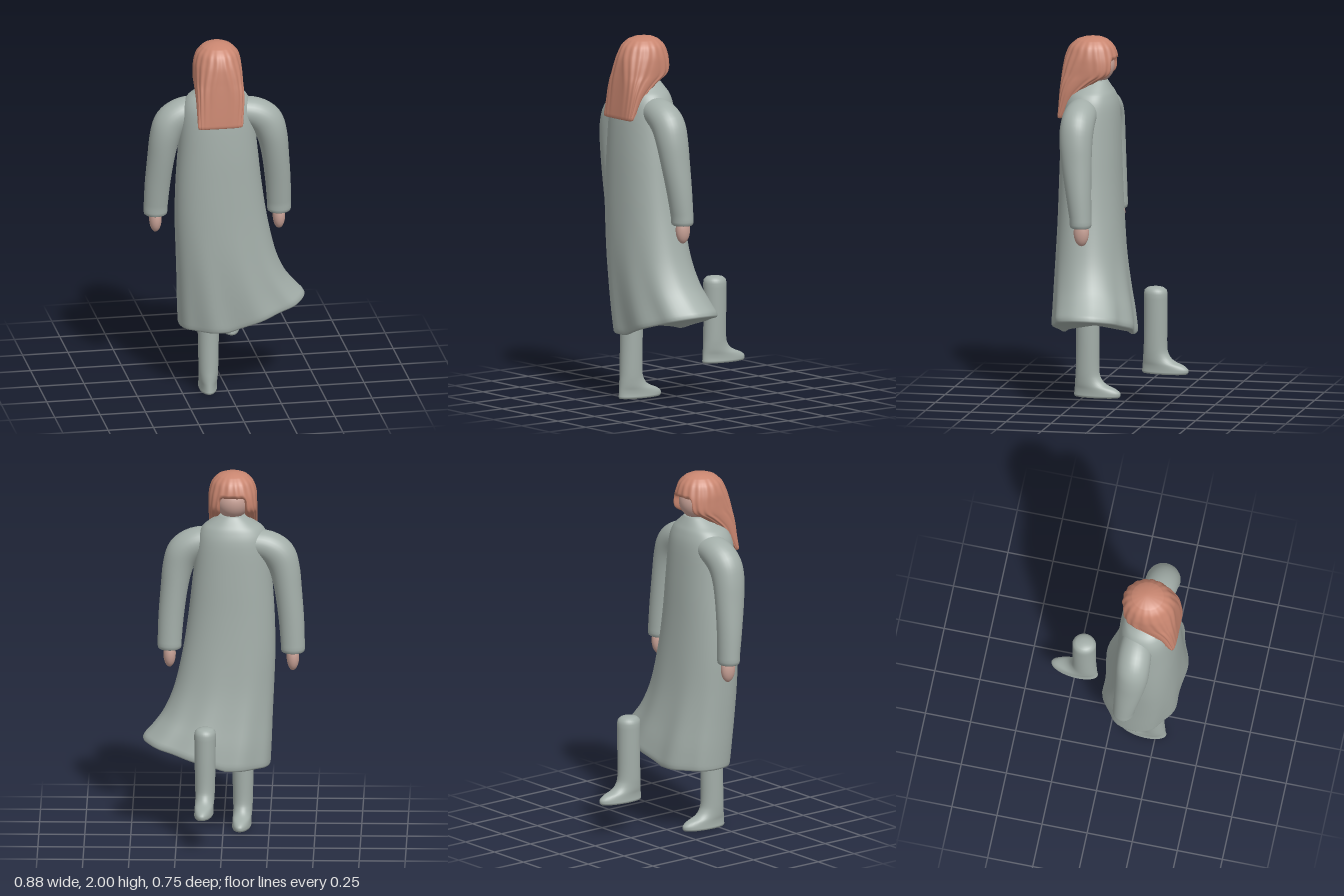
import * as THREE from 'three';

const mat = (name, color) => Object.assign(new THREE.MeshStandardMaterial({ color }), { name });

// Smoothly subdivide a table of numeric rows (Catmull-Rom on every column)
function refine(rows, n = 4) {
  const out = [];
  for (let i = 0; i < rows.length - 1; i++) {
    const p = [rows[Math.max(0, i - 1)], rows[i], rows[i + 1], rows[Math.min(rows.length - 1, i + 2)]];
    for (let k = 0; k < n; k++) {
      const t = k / n;
      out.push(rows[i].map((_, c) => {
        const [a, b, d, e] = p.map((r) => r[c]);
        return b + 0.5 * t * (d - a + t * (2 * a - 5 * b + 4 * d - e + t * (3 * (b - d) + e - a)));
      }));
    }
  }
  out.push(rows[rows.length - 1]);
  return out;
}

// Skin a list of closed rings, running from top to bottom, with closed ends
function loft(rings) {
  const pos = [], idx = [], n = rings[0].length, m = rings.length;
  rings.forEach((r) => r.forEach((p) => pos.push(p.x, p.y, p.z)));
  for (let i = 0; i < m - 1; i++) {
    for (let j = 0; j < n; j++) {
      const a = i * n + j, b = i * n + (j + 1) % n;
      idx.push(a, b, a + n, b, b + n, a + n);
    }
  }
  [0, m - 1].forEach((i) => {
    const c = new THREE.Vector3();
    rings[i].forEach((p) => c.addScaledVector(p, 1 / n));
    const ci = pos.length / 3;
    pos.push(c.x, c.y, c.z);
    for (let j = 0; j < n; j++) {
      const a = i * n + j, b = i * n + (j + 1) % n;
      if (i === 0) idx.push(ci, b, a); else idx.push(ci, a, b);
    }
  });
  const g = new THREE.BufferGeometry();
  g.setAttribute('position', new THREE.Float32BufferAttribute(pos, 3));
  g.setIndex(idx);
  g.computeVertexNormals();
  return g;
}

// Level superellipse ring from its extents; bend() may move each point
function ring([y, x0, x1, z0, z1, ...rest], n, power, bend) {
  const pts = [];
  for (let j = 0; j < n; j++) {
    const a = (j / n) * Math.PI * 2, c = Math.cos(a), s = Math.sin(a);
    const u = Math.sign(c) * Math.abs(c) ** (2 / power), v = Math.sign(s) * Math.abs(s) ** (2 / power);
    const p = new THREE.Vector3((x0 + x1) / 2 + u * (x1 - x0) / 2, y, (z0 + z1) / 2 + v * (z1 - z0) / 2);
    if (bend) bend(p, a, u, v, rest);
    pts.push(p);
  }
  return pts;
}

// Sweep ellipses along rows of x, y, z, side radius, depth radius
function sweep(rows, n = 32) {
  return loft(rows.map((r, i) => {
    const a = rows[Math.max(0, i - 1)], b = rows[Math.min(rows.length - 1, i + 1)];
    const T = new THREE.Vector3(b[0] - a[0], b[1] - a[1], 0).normalize();
    const V = T.clone().cross(new THREE.Vector3(0, 0, 1));
    return Array.from({ length: n }, (_, j) => {
      const t = (j / n) * Math.PI * 2;
      return new THREE.Vector3(r[0], r[1], r[2] + Math.cos(t) * r[4]).addScaledVector(V, Math.sin(t) * r[3]);
    });
  }));
}

export function createModel() {
  const model = new THREE.Group();
  const cloth = mat('greyCloth', 0xa3aea9), hairMat = mat('copperHair', 0xc98670), skin = mat('skin', 0xc9a297);
  const add = (name, geometry, material, parent = model) => {
    const mesh = new THREE.Mesh(geometry, material);
    mesh.name = name;
    parent.add(mesh);
    return mesh;
  };

  // Long coat: y, x range, z range, lift of the swept side, fold depth
  const coatRows = refine([
    [1.765, -0.11, 0.02, 0.11, 0.25, 0, 0],
    [1.72, -0.17, 0.08, 0.085, 0.29, 0, 0],
    [1.68, -0.22, 0.12, 0.065, 0.32, 0, 0],
    [1.6, -0.25, 0.145, 0.047, 0.345, 0, 0],
    [1.4, -0.265, 0.168, 0.037, 0.36, 0, 0],
    [1.2, -0.278, 0.19, 0.03, 0.366, 0, 0],
    [1.0, -0.282, 0.22, 0.018, 0.37, 0, 0],
    [0.8, -0.275, 0.265, 0, 0.374, 0, 0.002],
    [0.64, -0.268, 0.318, -0.025, 0.374, 0.03, 0.005],
    [0.5, -0.263, 0.375, -0.052, 0.371, 0.09, 0.008],
    [0.4, -0.258, 0.428, -0.068, 0.368, 0.132, 0.01],
  ]);
  // rounded hem and recessed underside
  coatRows.push([0.38, -0.257, 0.437, -0.068, 0.366, 0.135, 0.01], [0.37, -0.254, 0.434, -0.062, 0.36, 0.135, 0.01],
    [0.37, -0.24, 0.415, -0.045, 0.345, 0.13, 0.008], [0.385, -0.21, 0.37, -0.02, 0.32, 0.11, 0]);
  add('coat', loft(coatRows.map((r) => ring(r, 72, 2.25, (p, a, u, v, [lift, fold]) => {
    p.y += lift * Math.max(0, p.x / r[2]) ** 0.85;
    p.z += v * fold * Math.cos(9 * a);
  }))), cloth);

  // Boots: upright leg flowing into a toe that points to -z
  const bootRows = [[0.478, -0.02, 0.02, -0.02, 0.02], [0.473, -0.042, 0.042, -0.045, 0.045], [0.46, -0.055, 0.055, -0.061, 0.061],
    ...refine([
      [0.44, -0.059, 0.059, -0.066, 0.064],
      [0.3, -0.057, 0.057, -0.065, 0.063],
      [0.15, -0.054, 0.054, -0.065, 0.066],
      [0.1, -0.052, 0.052, -0.078, 0.069],
      [0.07, -0.051, 0.051, -0.108, 0.071],
      [0.048, -0.05, 0.05, -0.16, 0.073],
      [0.028, -0.05, 0.05, -0.185, 0.075],
      [0.01, -0.051, 0.051, -0.186, 0.077],
    ]), [0.002, -0.048, 0.048, -0.18, 0.073], [0, -0.042, 0.042, -0.172, 0.066], [0, -0.025, 0.025, -0.12, 0.04]];
  const boot = loft(bootRows.map((r) => ring(r, 36, 2)));
  [['standingLeg', -0.105, 0, 0.23], ['raisedLeg', 0.093, 0.18, -0.19]].forEach(([name, x, y, z]) => {
    const leg = add(name, boot, cloth);
    leg.position.set(x, y, z);
    leg.rotation.y = -0.1;
  });

  // Sleeves and hands, mirrored about the body's middle
  [['right', -1, -0.058, -0.045], ['left', 1, 0, -0.04]].forEach(([side, s, dz, mid]) => {
    const arm = new THREE.Group();
    arm.name = side + 'Arm';
    model.add(arm);
    const rows = refine([
      [0.1, 1.61, 0.215, 0.075, 0.08],
      [0.19, 1.59, 0.218, 0.085, 0.09],
      [0.255, 1.54, 0.22, 0.092, 0.092],
      [0.288, 1.46, 0.22, 0.083, 0.09],
      [0.308, 1.34, 0.212, 0.074, 0.082],
      [0.325, 1.18, 0.197, 0.069, 0.069],
      [0.333, 1.04, 0.184, 0.065, 0.059],
    ]);
    rows.push([0.333, 1.022, 0.184, 0.066, 0.06], [0.333, 1.007, 0.184, 0.062, 0.057],
      [0.333, 1.001, 0.184, 0.054, 0.05], [0.333, 1.0, 0.184, 0.04, 0.036]);
    add('sleeve', sweep(rows.map(([x, y, z, a, b]) => [mid + s * x, y, z + dz, a, b])), cloth, arm);
    const hand = add('hand', new THREE.SphereGeometry(1, 24, 16), skin, arm);
    hand.scale.set(0.034, 0.075, 0.042);
    hand.position.set(mid + s * 0.333, 0.975, 0.18 + dz);
  });

  // Head
  const head = add('head', new THREE.SphereGeometry(1, 32, 24), skin);
  head.scale.set(0.095, 0.1, 0.1);
  head.position.set(-0.05, 1.845, 0.17);

  // Hair: ridged dome, opened over the face, running into a long back curtain
  const hairRows = [[2.0, -0.065, -0.035, 0.17, 0.2], [1.995, -0.1, 0, 0.135, 0.24],
    ...refine([
      [1.983, -0.128, 0.028, 0.107, 0.275],
      [1.95, -0.16, 0.06, 0.074, 0.312],
      [1.9, -0.177, 0.076, 0.056, 0.335],
      [1.85, -0.18, 0.08, 0.057, 0.345],
      [1.8, -0.181, 0.08, 0.078, 0.351],
      [1.76, -0.181, 0.08, 0.15, 0.355],
      [1.7, -0.181, 0.078, 0.235, 0.36],
      [1.62, -0.181, 0.07, 0.293, 0.366],
      [1.57, -0.181, 0.064, 0.328, 0.369],
    ]), [1.56, -0.178, 0.06, 0.333, 0.367], [1.557, -0.165, 0.05, 0.34, 0.362]];
  add('hair', loft(hairRows.map((r) => {
    const square = THREE.MathUtils.smoothstep(1.93 - r[0], 0, 0.2);
    const open = THREE.MathUtils.smoothstep(1.885 - r[0], 0, 0.03) * THREE.MathUtils.smoothstep(r[0], 1.72, 1.76);
    return ring(r, 120, 2 + square * 1.6, (p, a, u, v) => {
      const ridge = 0.02 * Math.cos(18 * a) * Math.min(1, (2.0 - r[0]) * 15);
      p.x += u * ridge * 0.11;
      p.z += v * ridge * (r[4] - r[3]) / 2;
      if (v < 0) p.z += 0.075 * open * (1 - THREE.MathUtils.smoothstep(Math.abs(p.x + 0.05), 0.05, 0.08));
    });
  })), hairMat);

  return model;
}
